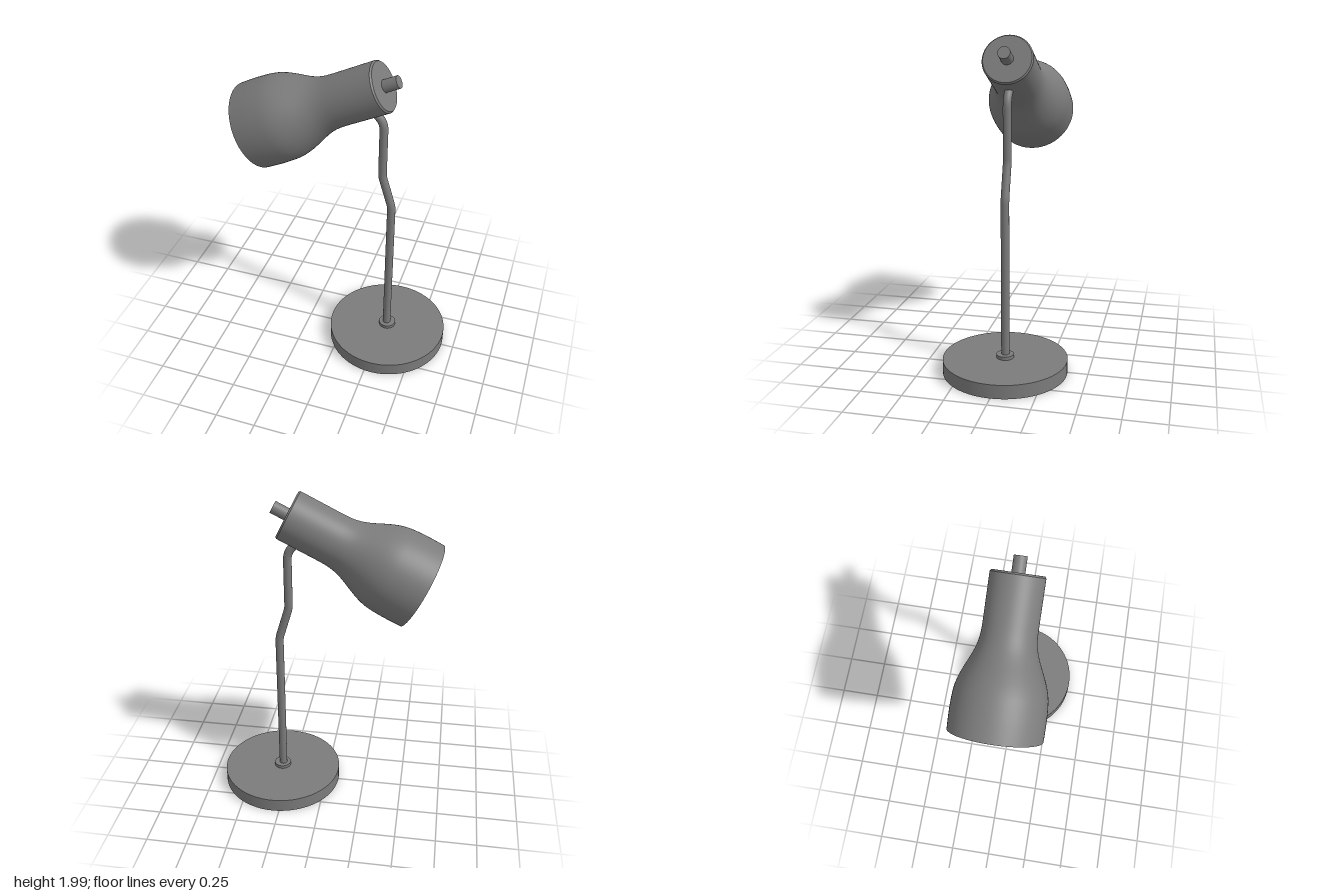
import * as THREE from 'three';

const grey = new THREE.MeshStandardMaterial({ color: 0x7b7b7b });
grey.name = 'greyMetal';
const white = new THREE.MeshStandardMaterial({ color: 0xffffff });
white.name = 'whiteLining';

const v2 = ([r, y]) => new THREE.Vector2(r, y);

function addMesh(parent, name, geometry, material, x = 0, y = 0) {
  const mesh = new THREE.Mesh(geometry, material);
  mesh.name = name;
  mesh.position.set(x, y, 0);
  parent.add(mesh);
  return mesh;
}

// Path with straight runs and softly rounded corners
function roundedPath(points, radii) {
  const p = points.map(([x, y]) => new THREE.Vector3(x, y, 0));
  const path = new THREE.CurvePath();
  let from = p[0];
  for (let i = 1; i < p.length - 1; i++) {
    const toward = (q) => q.clone().sub(p[i]).setLength(radii[i - 1]).add(p[i]);
    const a = toward(p[i - 1]), b = toward(p[i + 1]);
    path.add(new THREE.LineCurve3(from, a));
    path.add(new THREE.QuadraticBezierCurve3(a, p[i], b));
    from = b;
  }
  path.add(new THREE.LineCurve3(from, p[p.length - 1]));
  return path;
}

export function createModel() {
  const lamp = new THREE.Group();
  lamp.name = 'deskLamp';
  const baseX = 0.295;

  // Weighted base and collar
  addMesh(lamp, 'base', new THREE.CylinderGeometry(0.378, 0.378, 0.085, 72), grey, baseX, 0.0425);
  addMesh(lamp, 'collar', new THREE.CylinderGeometry(0.053, 0.053, 0.025, 36), grey, baseX, 0.0935);

  // Cranked arm, hooking into the underside of the shade
  const armPath = roundedPath(
    [[0.291, 0.08], [0.291, 1.06], [0.229, 1.27], [0.229, 1.655], [0.13, 1.71]],
    [0.025, 0.025, 0.07]
  );
  addMesh(lamp, 'arm', new THREE.TubeGeometry(armPath, 160, 0.025, 24), grey);

  // Tilted head, measured along its axis from the open mouth
  const head = new THREE.Group();
  head.name = 'head';
  head.position.set(-0.555, 1.475, 0);
  head.rotation.z = -1.107;
  lamp.add(head);

  const bell = new THREE.SplineCurve([
    [0, 0.262], [0.07, 0.263], [0.14, 0.262], [0.22, 0.256], [0.28, 0.242], [0.34, 0.219],
    [0.42, 0.183], [0.48, 0.162], [0.54, 0.152], [0.61, 0.15]
  ].map(([t, r]) => v2([r, t]))).getPoints(48);
  const outer = [...bell, v2([0.15, 0.862])];
  const wall = 0.006;
  const inner = outer.map((p) => v2([p.x - wall, p.y])).reverse();
  const lathe = (points) => new THREE.LatheGeometry(points, 72);

  addMesh(head, 'shade', lathe(outer), grey);
  addMesh(head, 'shadeLining', lathe(inner), white);
  addMesh(head, 'liningEnd', lathe([[0, 0.86], [0.146, 0.86]].map(v2)), white);
  addMesh(head, 'shadeRim', lathe([[0.262 - wall, 0], [0.262, 0]].map(v2)), grey);
  addMesh(head, 'shadeBevel', lathe([[0.15, 0.862], [0.142, 0.872]].map(v2)), grey);
  addMesh(head, 'shadeCap', lathe([[0.142, 0.872], [0, 0.872]].map(v2)), grey);

  // Switch knob on the back of the head
  addMesh(head, 'switchKnob', new THREE.CylinderGeometry(0.037, 0.037, 0.1, 32), grey, 0, 0.912);

  return lamp;
}
